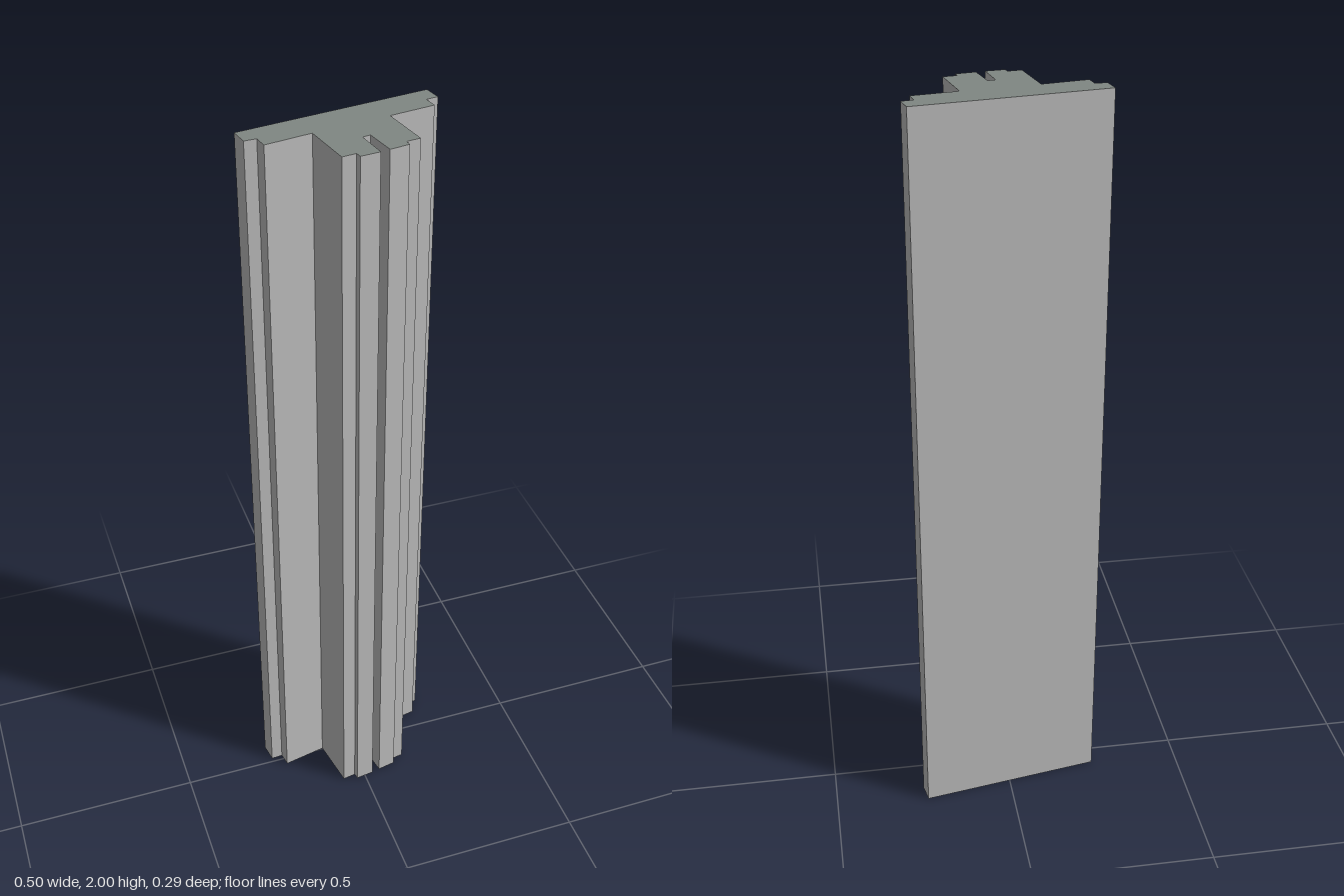
import * as THREE from 'three';

const HEIGHT = 2;

// Plan outline of the moulded bar as [x, z], starting at the back left corner
const OUTLINE = [
  [-0.251, -0.061], [0.242, -0.146],                                      // flat back
  [0.251, -0.098], [0.22, -0.092], [0.226, -0.056], [0.109, -0.034],      // stepped flange
  [0.132, 0.1], [0.096, 0.106], [0.098, 0.122], [0.048, 0.132],           // web, first lip
  [0.032, 0.049], [0.012, 0.053],                                         // slot
  [0.025, 0.137], [-0.025, 0.144], [-0.028, 0.128], [-0.064, 0.134],      // web, second lip
  [-0.087, -0.002], [-0.206, 0.022], [-0.212, -0.014], [-0.243, -0.012],  // stepped flange
];

// Flat wall quads around the outline, open at the bottom
function wallGeometry() {
  const positions = [];
  OUTLINE.forEach(([ax, az], i) => {
    const [bx, bz] = OUTLINE[(i + 1) % OUTLINE.length];
    positions.push(
      ax, 0, az, ax, HEIGHT, az, bx, HEIGHT, bz,
      ax, 0, az, bx, HEIGHT, bz, bx, 0, bz,
    );
  });
  const geometry = new THREE.BufferGeometry();
  geometry.setAttribute('position', new THREE.Float32BufferAttribute(positions, 3));
  geometry.computeVertexNormals();
  return geometry;
}

// Closed end face on top
function capGeometry() {
  const shape = new THREE.Shape(OUTLINE.map(([x, z]) => new THREE.Vector2(x, -z)));
  return new THREE.ShapeGeometry(shape).rotateX(-Math.PI / 2).translate(0, HEIGHT, 0);
}

export function createModel() {
  const wallGrey = new THREE.MeshStandardMaterial({ color: 0xc0c0c0, side: THREE.DoubleSide });
  wallGrey.name = 'wall grey';
  const capGrey = new THREE.MeshStandardMaterial({ color: 0x808783, side: THREE.DoubleSide });
  capGrey.name = 'end cap grey green';

  const walls = new THREE.Mesh(wallGeometry(), wallGrey);
  walls.name = 'profileWalls';
  const cap = new THREE.Mesh(capGeometry(), capGrey);
  cap.name = 'topCap';

  const model = new THREE.Group();
  model.name = 'extrudedProfile';
  model.add(walls, cap);
  return model;
}
